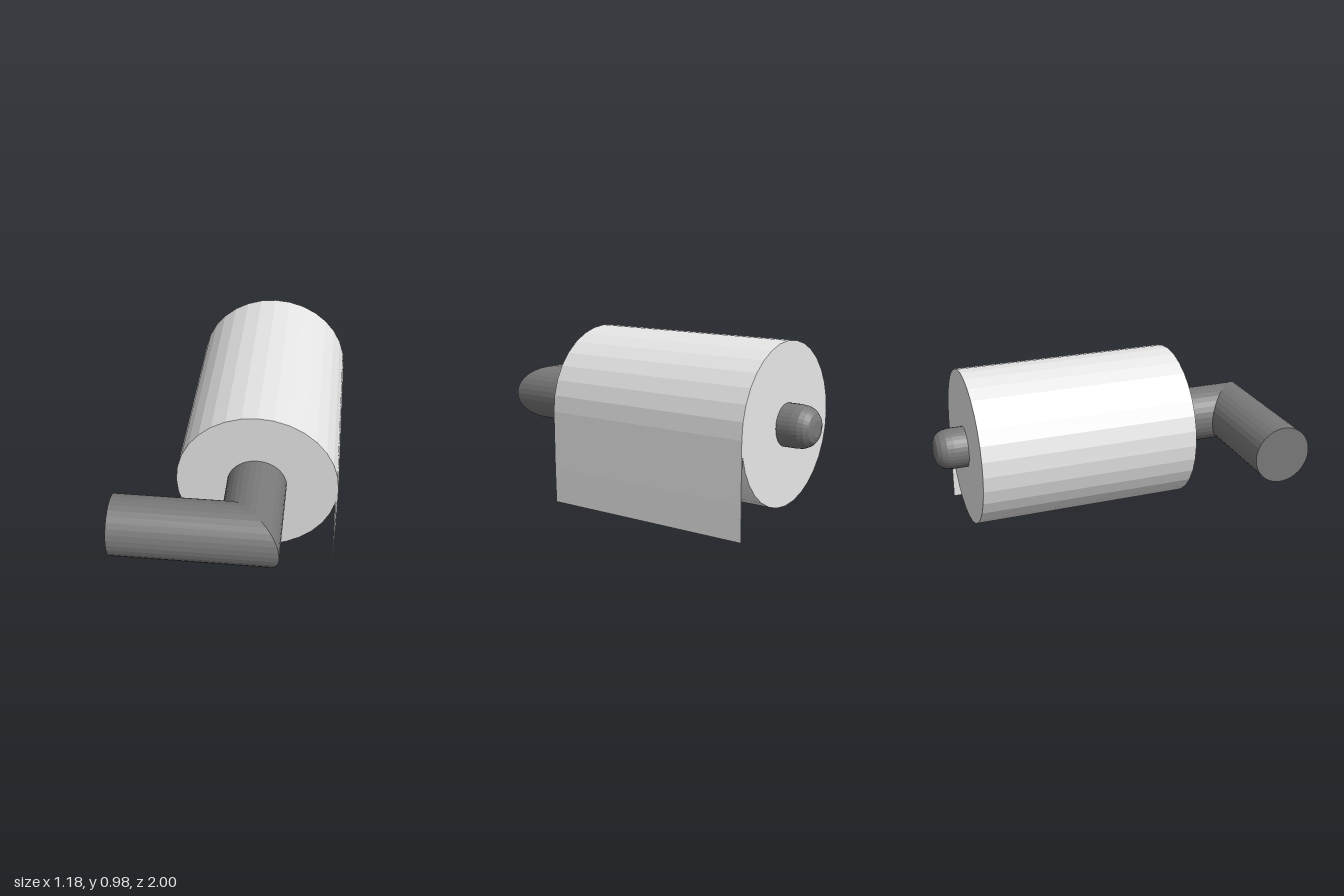
import * as THREE from 'three';

const CX = 0.138, CY = 0.535;            // roll axis
const ROLL_R = 0.448, FRONT = 0.433, BACK = -0.82;
const BAR_R = 0.165, ELBOW_Z = 0.835, ARM_END = -0.59;
const SIDES = 32;

export function createModel() {
  const paper = new THREE.MeshStandardMaterial({ color: 0xe7e7e7 });
  paper.name = 'paper';
  const metal = new THREE.MeshStandardMaterial({ color: 0x797979 });
  metal.name = 'darkMetal';
  paper.flatShading = metal.flatShading = true;

  const group = new THREE.Group();
  group.name = 'paperRollHolder';
  const add = (name, geometry, material) => {
    const mesh = new THREE.Mesh(geometry, material);
    mesh.name = name;
    group.add(mesh);
    return mesh;
  };

  // Paper roll lying along z
  const length = FRONT - BACK;
  const roll = new THREE.CylinderGeometry(ROLL_R, ROLL_R, length, SIDES);
  roll.rotateX(Math.PI / 2).translate(CX, CY, (FRONT + BACK) / 2);
  add('paperRoll', roll, paper);

  // Loose sheet hanging from the +x side, tapering to its lower edge
  const right = CX + ROLL_R;
  const profile = new THREE.Shape([
    [right - 0.008, 0.447], [right - 0.004, 0.2], [right - 0.003, 0],
    [right + 0.001, 0.2], [right + 0.001, 0.53], [right - 0.008, 0.622],
  ].map(([x, y]) => new THREE.Vector2(x, y)));
  const sheet = new THREE.ExtrudeGeometry(profile, { depth: length, bevelEnabled: false });
  sheet.translate(0, 0, BACK);
  add('hangingSheet', sheet, paper);

  // Bar from the roll to the elbow; its front end is cut at 45 degrees
  const bar = new THREE.CylinderGeometry(BAR_R, BAR_R, 1, SIDES, 1, true);
  bar.rotateX(Math.PI / 2);
  const b = bar.attributes.position;
  for (let i = 0; i < b.count; i++) {
    b.setZ(i, b.getZ(i) > 0 ? ELBOW_Z + b.getX(i) : FRONT - 0.05);
  }
  bar.translate(CX, CY, 0);
  add('rollBar', bar, metal);

  // Side arm towards -x, mitred against the bar
  const arm = new THREE.CylinderGeometry(BAR_R, BAR_R, 1, SIDES, 1, true);
  arm.rotateZ(-Math.PI / 2);
  const a = arm.attributes.position;
  for (let i = 0; i < a.count; i++) {
    a.setX(i, a.getX(i) > 0 ? CX + a.getZ(i) : ARM_END);
  }
  arm.translate(0, CY, ELBOW_Z);
  add('sideArm', arm, metal);

  // Flat end of the side arm
  const cap = new THREE.CircleGeometry(BAR_R, SIDES);
  cap.rotateY(-Math.PI / 2).translate(ARM_END, CY, ELBOW_Z);
  add('armEnd', cap, metal);

  // Rounded knob behind the roll
  const knobProfile = [
    [0.118, 0.8], [0.118, 0.9], [0.113, 0.938], [0.1, 0.967],
    [0.077, 0.989], [0.045, 1], [0, 1],
  ].map(([r, z]) => new THREE.Vector2(r, z));
  const knob = new THREE.LatheGeometry(knobProfile, SIDES);
  knob.rotateX(-Math.PI / 2).translate(CX, CY, 0);
  add('endKnob', knob, metal);

  return group;
}
